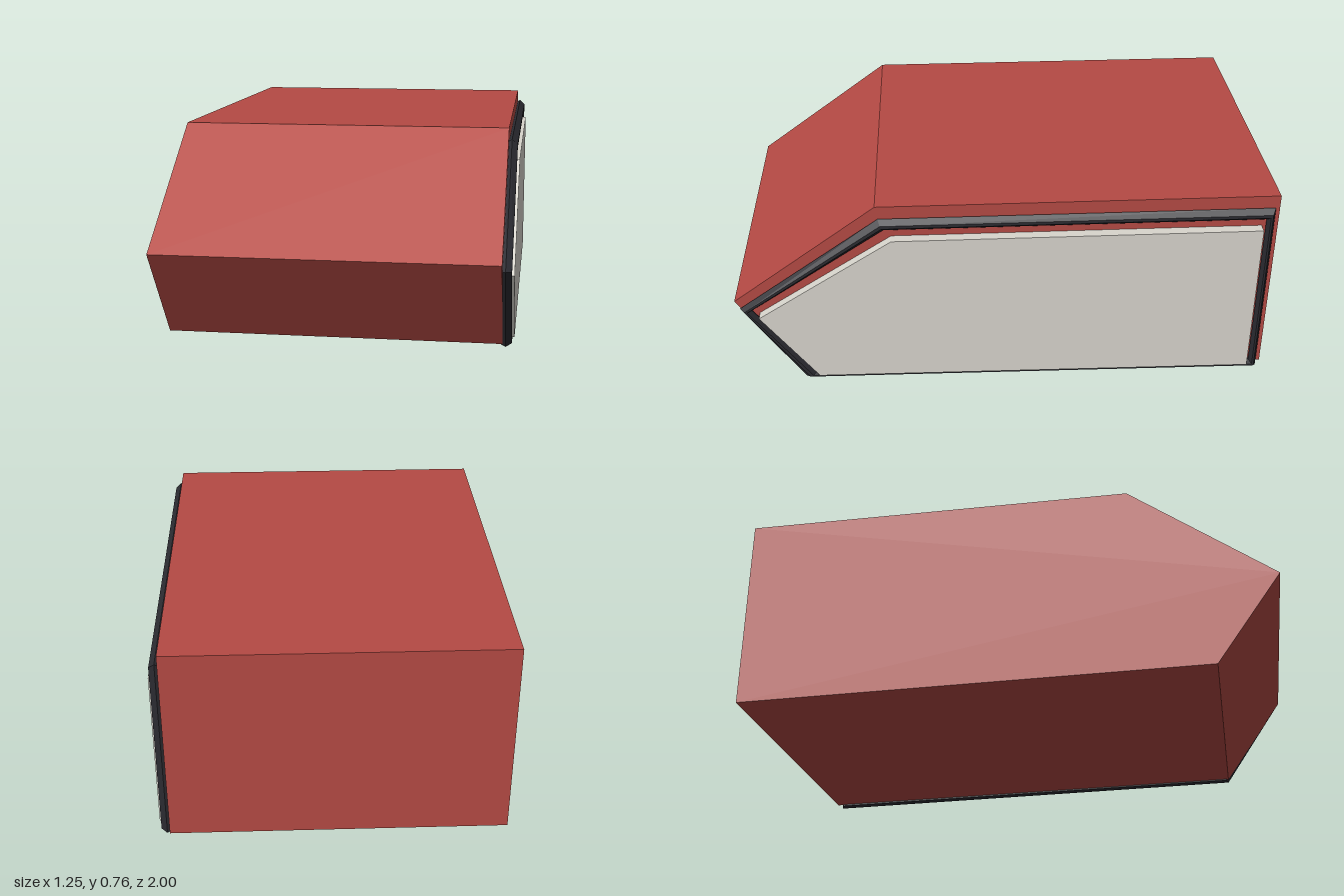
import * as THREE from 'three';

const material = (name, color) => {
  const m = new THREE.MeshStandardMaterial({ color });
  m.name = name;
  return m;
};

// Side outlines as [z, y]: nose tip, roof front, roof rear, floor rear, floor front
const BODY = [[1, 0.37], [0.465, 0.76], [-1, 0.76], [-1, 0.015], [0.76, 0.032]];
const PANEL = [[0.91, 0.317], [0.41, 0.638], [-0.94, 0.638], [-0.94, 0.025], [0.705, 0.042]];
const TRIM_OUTER = [[0.98, 0.345], [0.455, 0.717], [-0.982, 0.717], [-0.982, 0.002], [0.76, 0.022]];
const TRIM_INNER = [[0.937, 0.335], [0.437, 0.67], [-0.952, 0.67], [-0.952, 0.03], [0.715, 0.045]];

// Trim cross-section as [x, blend from outer to inner outline]
const SECTION = [[0.576, 0.25], [0.594, 0], [0.615, 0.4], [0.615, 0.65], [0.594, 1], [0.576, 0.75]];

// Extrudes a side outline across x
function slab(name, outline, x0, x1, mat) {
  const shape = new THREE.Shape(outline.map(([z, y]) => new THREE.Vector2(z, y)));
  const geo = new THREE.ExtrudeGeometry(shape, { depth: x1 - x0, bevelEnabled: false });
  geo.rotateY(-Math.PI / 2).translate(x1, 0, 0);
  const mesh = new THREE.Mesh(geo, mat);
  mesh.name = name;
  return mesh;
}

// Sweeps the trim section around the outline with mitred corners
function trimGeometry() {
  const n = TRIM_OUTER.length, m = SECTION.length, positions = [];
  const point = (i, j) => {
    const a = TRIM_OUTER[i % n], b = TRIM_INNER[i % n], [x, t] = SECTION[j % m];
    return [x, THREE.MathUtils.lerp(a[1], b[1], t), THREE.MathUtils.lerp(a[0], b[0], t)];
  };
  for (let i = 0; i < n; i++) {
    for (let j = 0; j < m; j++) {
      const a = point(i, j), b = point(i, j + 1), c = point(i + 1, j + 1), d = point(i + 1, j);
      positions.push(...a, ...b, ...d, ...b, ...c, ...d);
    }
  }
  const geo = new THREE.BufferGeometry();
  geo.setAttribute('position', new THREE.Float32BufferAttribute(positions, 3));
  geo.computeVertexNormals();
  return geo;
}

export function createModel() {
  const red = material('red shell', 0xb54a44);
  const black = material('black trim', 0x2b2b31);
  const grey = material('light grey panel', 0xd8d5cd);

  const model = new THREE.Group();
  model.name = 'wedgeCabinet';

  // Solid wedge-nosed shell
  model.add(slab('shell', BODY, -0.625, 0.583, red));

  // Raised panel on the left side
  model.add(slab('sidePanel', PANEL, 0.58, 0.623, grey));

  // Bevelled frame around the panel
  const trim = new THREE.Mesh(trimGeometry(), black);
  trim.name = 'panelTrim';
  model.add(trim);

  return model;
}
